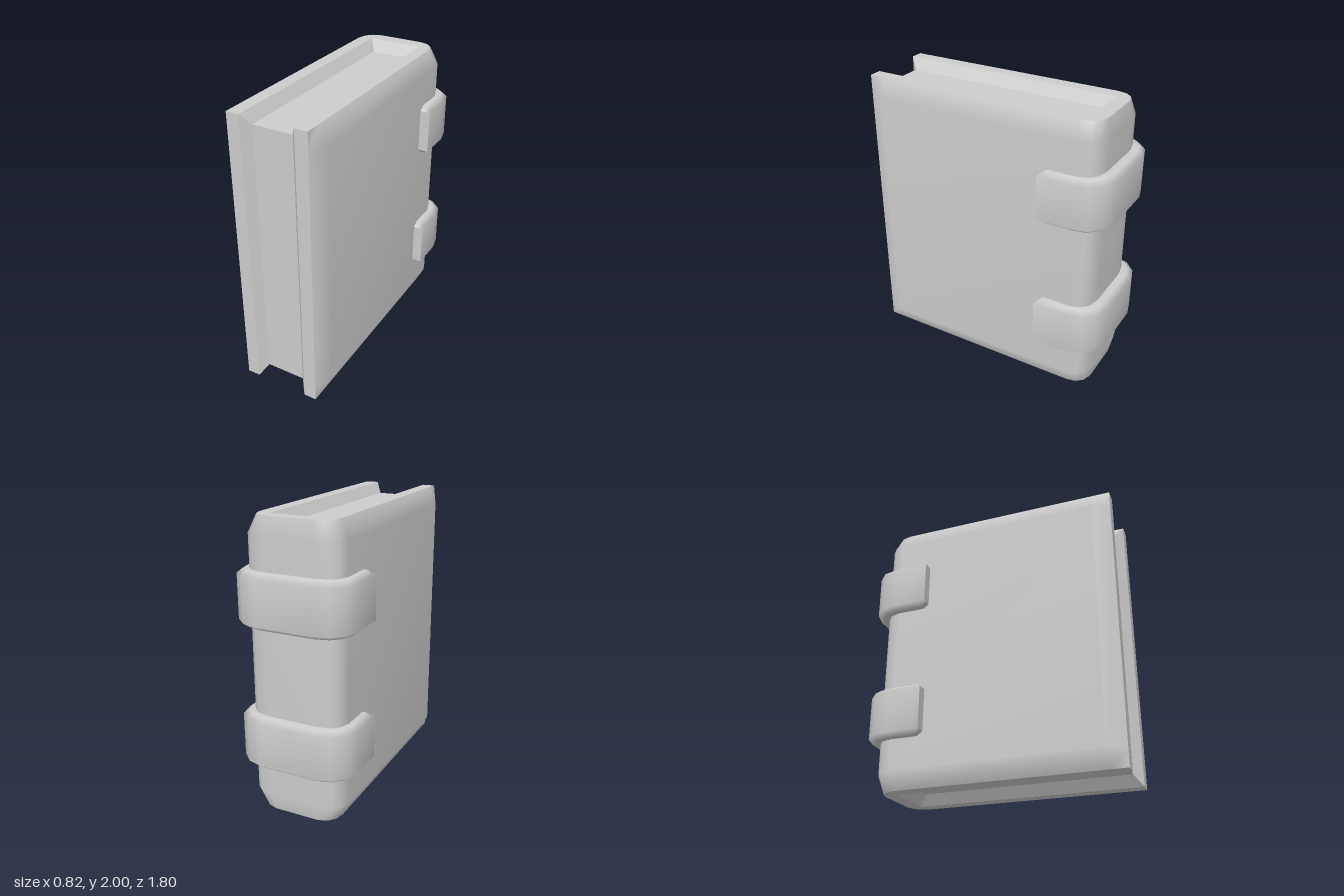
import * as THREE from 'three';

// Complete a half outline of [x, z] points with its mirror image
const mirrored = (half) => [...half, ...half.slice().reverse().map(([x, z]) => [-x, z])];

// Skin a list of rows, each a list of [x, y, z] points
function skin(rows, flat = false) {
  const n = rows[0].length, index = [];
  for (let i = 0; i < rows.length - 1; i++) {
    for (let j = 0; j < n - 1; j++) {
      const a = i * n + j, d = a + n;
      index.push(a, a + 1, d + 1, a, d + 1, d);
    }
  }
  let geo = new THREE.BufferGeometry();
  geo.setAttribute('position', new THREE.Float32BufferAttribute(rows.flat(2), 3));
  geo.setIndex(index);
  if (flat) geo = geo.toNonIndexed();
  geo.computeVertexNormals();
  return geo;
}

export function createModel() {
  const book = new THREE.Group();
  book.name = 'book';
  const grey = new THREE.MeshStandardMaterial({ color: 0xcccccc });
  grey.name = 'grey';
  const add = (name, geo, parent = book) => {
    const mesh = new THREE.Mesh(geo, grey);
    mesh.name = name;
    parent.add(mesh);
    return mesh;
  };

  // Cover: boards and rounded spine, tapering at top and bottom
  const wide = mirrored([[0.28, 0.9], [0.34, 0.78], [0.34, -0.69], [0.315, -0.76], [0.27, -0.8], [0.18, -0.82]]);
  const rimHalf = [[0.28, 0.9], [0.28, 0.78], [0.28, -0.66], [0.265, -0.73], [0.225, -0.775], [0.16, -0.797]];
  const narrow = mirrored(rimHalf);
  const level = (outline, y) => outline.map(([x, z]) => [x, y, z]);
  add('cover', skin([level(narrow, 0), level(wide, 0.12), level(wide, 1.88), level(narrow, 2)]));

  // Flat rims of the cover at top and bottom
  const u = [...narrow, [-0.19, 0.9], [-0.19, -0.7], [0.19, -0.7], [0.19, 0.9]];
  const rim = new THREE.ShapeGeometry(new THREE.Shape(u.map(([x, z]) => new THREE.Vector2(x, -z))));
  rim.rotateX(-Math.PI / 2);
  add('topRim', rim).position.y = 2;
  add('bottomRim', rim.clone().rotateZ(Math.PI));

  // Front edges of the two boards
  for (const s of [1, -1]) {
    add(s > 0 ? 'leftBoardEdge' : 'rightBoardEdge', new THREE.PlaneGeometry(0.09, 2)).position.set(s * 0.235, 1, 0.9);
  }

  // Sloped groove between the boards and the pages
  const loop = (x, y0, y1, z0, z1) => [
    [x, y1, z1], [x, y1, z0], [-x, y1, z0], [-x, y1, z1],
    [-x, y0, z1], [-x, y0, z0], [x, y0, z0], [x, y0, z1], [x, y1, z1],
  ];
  add('groove', skin([loop(0.19, 0, 2, -0.7, 0.9), loop(0.14, 0.075, 1.925, -0.64, 0.84)], true));

  // Page block
  add('pages', new THREE.BoxGeometry(0.28, 1.85, 1.48)).position.set(0, 1, 0.1);

  // Bevelled bands wrapped round the spine
  const inner = mirrored([[0.33, -0.45], [0.33, -0.49], [0.33, -0.68], [0.305, -0.75], [0.26, -0.79], [0.17, -0.81]]);
  const middle = mirrored([[0.37, -0.45], [0.37, -0.49], [0.37, -0.69], [0.35, -0.78], [0.285, -0.84], [0.19, -0.865]]);
  const outer = mirrored([[0.41, -0.45], [0.41, -0.49], [0.41, -0.69], [0.385, -0.8], [0.305, -0.875], [0.2, -0.905]]);
  const bandRow = (outline, h) => outline.map(([x, z]) => [x, z > -0.46 ? Math.sign(h) * 0.15 : h, z]);
  const bandGeo = skin([
    bandRow(inner, -0.18), bandRow(middle, -0.18), bandRow(outer, -0.15),
    bandRow(outer, 0.15), bandRow(middle, 0.18), bandRow(inner, 0.18),
  ]);
  for (const [name, y] of [['upperBand', 1.48], ['lowerBand', 0.52]]) {
    const band = new THREE.Group();
    band.name = name;
    band.position.y = y;
    add('strap', bandGeo, band);
    for (const s of [1, -1]) {
      add('strapEnd', new THREE.PlaneGeometry(0.08, 0.3), band).position.set(s * 0.37, 0, -0.45);
    }
    book.add(band);
  }
  return book;
}
